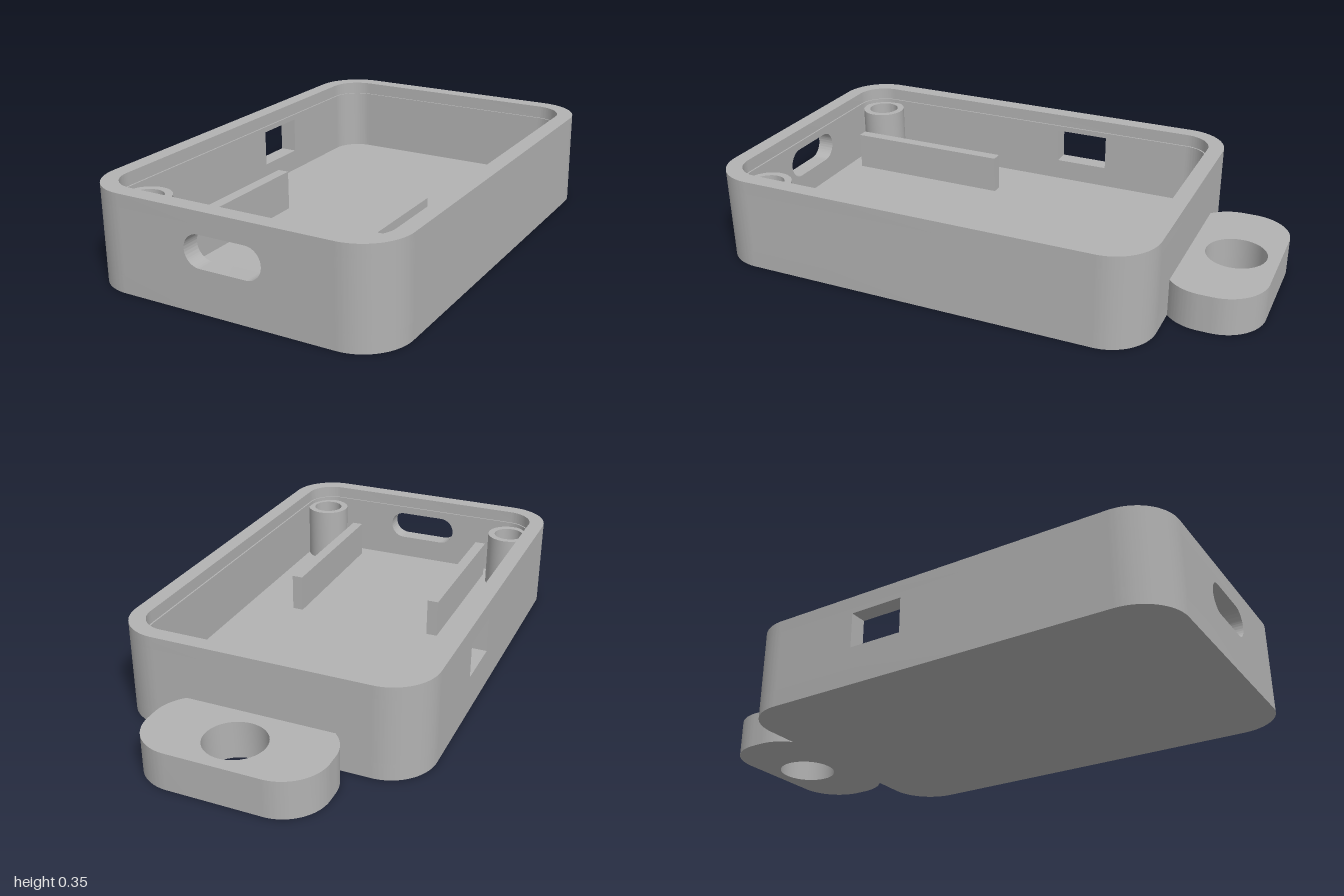
import * as THREE from 'three';
import { toCreasedNormals } from 'three/addons/utils/BufferGeometryUtils.js';

const HEIGHT = 0.348, FLOOR = 0.063, LIP = 0.301;   // outer height, floor top, lip ledge
const CX = 0.40, CZ_FRONT = 0.83, CZ_BACK = -0.51;  // corner arc centres
const R_OUT = 0.17, R_IN = 0.104, R_LIP = 0.11;

// Rounded rectangle outline
function roundRect(x0, y0, x1, y1, r, PathType = THREE.Shape) {
  const p = new PathType();
  p.moveTo(x0 + r, y0);
  p.lineTo(x1 - r, y0);
  p.absarc(x1 - r, y0 + r, r, -Math.PI / 2, 0);
  p.lineTo(x1, y1 - r);
  p.absarc(x1 - r, y1 - r, r, 0, Math.PI / 2);
  p.lineTo(x0 + r, y1);
  p.absarc(x0 + r, y1 - r, r, Math.PI / 2, Math.PI);
  p.lineTo(x0, y0 + r);
  p.absarc(x0 + r, y0 + r, r, Math.PI, Math.PI * 1.5);
  return p;
}

// Case outline at a given corner radius; plan shapes use (x, -z)
const caseOutline = (r, PathType) =>
  roundRect(-CX - r, -CZ_FRONT - r, CX + r, -CZ_BACK + r, r, PathType);

function circle(x, y, r, PathType = THREE.Path) {
  const p = new PathType();
  p.absarc(x, y, r, 0, Math.PI * 2);
  return p;
}

function rectangle(x0, y0, x1, y1, PathType = THREE.Shape) {
  return new PathType([[x0, y0], [x1, y0], [x1, y1], [x0, y1]].map(([x, y]) => new THREE.Vector2(x, y)));
}

const extrude = (shape, depth) => toCreasedNormals(
  new THREE.ExtrudeGeometry(shape, { depth, bevelEnabled: false, curveSegments: 20 }), 0.6);

// Plan shape raised from y0 to y1
const raise = (shape, y0, y1) => extrude(shape, y1 - y0).rotateX(-Math.PI / 2).translate(0, y0, 0);

export function createModel() {
  const group = new THREE.Group();
  group.name = 'enclosure';
  const plastic = new THREE.MeshStandardMaterial({ color: 0xb2b2b2 });
  plastic.name = 'grey plastic';
  const add = (name, geometry) => {
    const mesh = new THREE.Mesh(geometry, plastic);
    mesh.name = name;
    group.add(mesh);
  };

  add('floor', raise(caseOutline(R_OUT), 0, FLOOR));

  // Rounded wall corners
  const corners = [
    ['backLeftCorner', CX, -CZ_BACK, 0], ['backRightCorner', -CX, -CZ_BACK, 1],
    ['frontRightCorner', -CX, -CZ_FRONT, 2], ['frontLeftCorner', CX, -CZ_FRONT, 3],
  ];
  for (const [name, x, y, quarter] of corners) {
    const a = quarter * Math.PI / 2, b = a + Math.PI / 2;
    const s = new THREE.Shape();
    s.absarc(x, y, R_OUT, a, b, false);
    s.absarc(x, y, R_IN, b, a, true);
    add(name, raise(s, FLOOR, LIP));
  }

  // Straight walls, with a connector slot in front and a switch window at the right
  const wall = R_OUT - R_IN;
  const front = rectangle(-CX, FLOOR, CX, LIP);
  front.holes.push(roundRect(-0.145, 0.155, 0.145, 0.27, 0.0574, THREE.Path));
  add('frontWall', extrude(front, wall).translate(0, 0, CZ_FRONT + R_IN));
  add('backWall', extrude(rectangle(-CX, FLOOR, CX, LIP), wall).translate(0, 0, CZ_BACK - R_OUT));

  const side = () => rectangle(CZ_BACK, FLOOR, CZ_FRONT, LIP);
  const right = side();
  right.holes.push(rectangle(-0.17, 0.145, 0.04, 0.28, THREE.Path));
  add('rightWall', extrude(right, wall).rotateY(-Math.PI / 2).translate(-CX - R_IN, 0, 0));
  add('leftWall', extrude(side(), wall).rotateY(-Math.PI / 2).translate(CX + R_OUT, 0, 0));

  // Slightly wider rim that receives the lid
  const rim = caseOutline(R_OUT);
  rim.holes.push(caseOutline(R_LIP, THREE.Path));
  add('rim', raise(rim, LIP, HEIGHT));

  // Screw posts and board ribs
  for (const [label, sx] of [['left', 1], ['right', -1]]) {
    const post = circle(sx * 0.425, -0.84, 0.087, THREE.Shape);
    post.holes.push(circle(sx * 0.425, -0.84, 0.06));
    add(label + 'ScrewPost', raise(post, FLOOR, 0.286));
    add(label + 'Rib', new THREE.BoxGeometry(0.043, 0.147, 0.645)
      .translate(sx * 0.293, FLOOR + 0.0735, 0.5525));
  }

  // Hanging tab with a round hole
  const tab = roundRect(-0.33, 0.64, 0.33, 1.0, 0.159);
  tab.holes.push(circle(0, 0.845, 0.11));
  add('hangingTab', raise(tab, 0, 0.14));

  return group;
}
